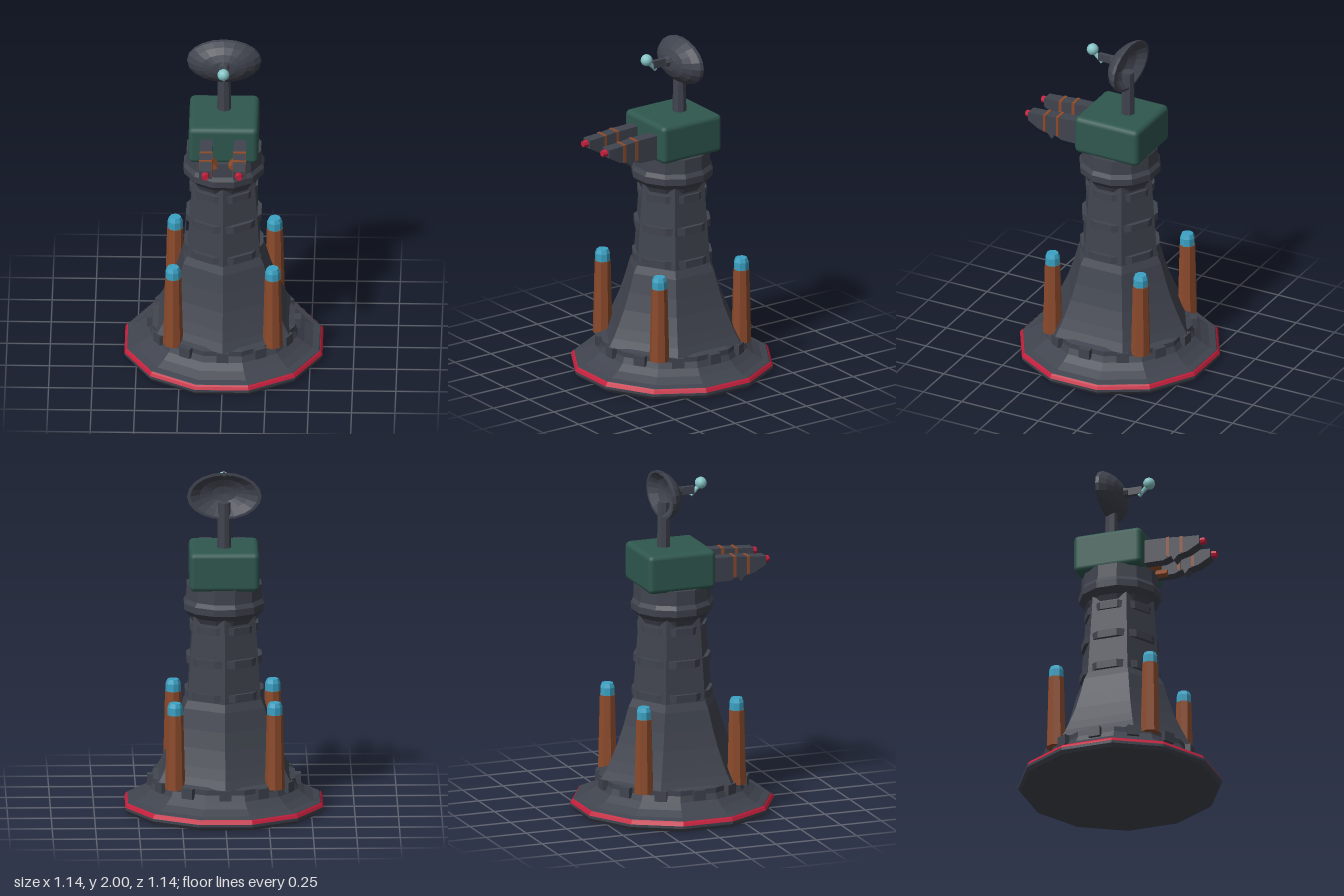
import * as THREE from 'three';
import { RoundedBoxGeometry } from 'three/addons/geometries/RoundedBoxGeometry.js';

const mat = (name, color) => {
  const m = new THREE.MeshStandardMaterial({ color });
  m.name = name;
  return m;
};

export function createModel() {
  const root = new THREE.Group();
  root.name = 'turretTower';
  const M = {
    dark: mat('dark slate', 0x40444e),
    green: mat('dark green', 0x2f584f),
    brown: mat('copper brown', 0x8c4b2c),
    cyan: mat('cyan', 0x3ba2c4),
    pale: mat('pale teal', 0x86c4c6),
    red: mat('red', 0xc41f3c),
  };

  // Faceted normals for the low-poly parts
  const facet = (g) => {
    const f = g.index ? g.toNonIndexed() : g;
    f.computeVertexNormals();
    return f;
  };
  const add = (name, geo, m, x = 0, y = 0, z = 0, parent = root) => {
    const mesh = new THREE.Mesh(geo, m);
    mesh.name = name;
    mesh.position.set(x, y, z);
    parent.add(mesh);
    return mesh;
  };
  // Faceted turned body from [radius, height] pairs, listed bottom to top
  const turned = (pts, sides, turn = 0) =>
    facet(new THREE.LatheGeometry(pts.map((p) => new THREE.Vector2(...p)), sides).rotateY(turn));
  const rod = (r0, r1, h, sides) => facet(new THREE.CylinderGeometry(r1, r0, h, sides));

  // Twelve-sided base with flats on the axes
  const half = Math.PI / 12;
  add('base', turned([[0, 0], [0.575, 0], [0.59, 0.02], [0.59, 0.035], [0.57, 0.06], [0.53, 0.07],
    [0.48, 0.1], [0.44, 0.135], [0.425, 0.17], [0.425, 0.2], [0.39, 0.21], [0, 0.21]], 12, half), M.dark);
  add('baseStripe', turned([[0.591, 0.036], [0.582, 0.052], [0.574, 0.06]], 12, half), M.red);
  for (let i = 0; i < 12; i++) {
    const a = (i * Math.PI) / 6;
    const lug = add('baseLug', new THREE.BoxGeometry(0.07, 0.06, 0.04), M.dark,
      Math.sin(a) * 0.423, 0.172, Math.cos(a) * 0.423);
    lug.rotation.y = a;
  }

  // Hexagonal tower: flared foot and slim shaft
  add('flaredFoot', turned([[0.44, 0.2], [0.41, 0.25], [0.38, 0.31], [0.335, 0.41], [0.3, 0.51],
    [0.268, 0.62], [0.245, 0.665], [0, 0.665]], 6), M.dark);
  add('shaft', turned([[0.245, 0.6], [0.24, 0.7], [0.205, 1.17]], 6), M.dark);
  for (const [y, r] of [[0.695, 0.235], [0.895, 0.225], [1.085, 0.204]]) {
    add('shaftBand', rod(r, r, 0.045, 12).rotateY(half), M.dark, 0, y);
  }
  add('collar', turned([[0.19, 1.12], [0.205, 1.15], [0.238, 1.185], [0.24, 1.225], [0.225, 1.25],
    [0.222, 1.335], [0, 1.335]], 12, half), M.dark);

  // Four energy posts around the tower
  for (const sx of [-1, 1]) for (const sz of [-1, 1]) {
    const post = new THREE.Group();
    post.name = 'energyPost';
    post.position.set(sx * 0.287, 0, sz * 0.287);
    root.add(post);
    add('postBody', rod(0.058, 0.047, 0.44, 8), M.brown, 0, 0.4, 0, post);
    add('postCap', turned([[0.044, 0.61], [0.044, 0.665], [0.034, 0.69], [0, 0.69]], 8), M.cyan, 0, 0, 0, post);
  }

  // Turret head
  add('turretHead', new RoundedBoxGeometry(0.4, 0.23, 0.415, 2, 0.03), M.green, 0, 1.44, -0.01);

  // Tapered barrel side profile in (z, y)
  const profile = [[0.18, 1.345], [0.31, 1.345], [0.36, 1.365], [0.375, 1.335], [0.4, 1.365],
    [0.46, 1.38], [0.53, 1.42], [0.53, 1.47], [0.44, 1.475], [0.34, 1.485], [0.18, 1.49]];
  const barrelShape = new THREE.Shape(profile.map(([z, y]) => new THREE.Vector2(-z, y)));
  for (const s of [-1, 1]) {
    const gun = new THREE.Group();
    gun.name = 'gun';
    gun.position.x = s * 0.097;
    root.add(gun);
    const barrel = new THREE.ExtrudeGeometry(barrelShape, { depth: 0.07, bevelEnabled: false });
    add('barrel', barrel.translate(0, 0, -0.035).rotateY(Math.PI / 2), M.dark, 0, 0, 0, gun);
    add('rearBand', new THREE.BoxGeometry(0.076, 0.122, 0.018), M.brown, 0, 1.427, 0.338, gun);
    add('frontBand', new THREE.BoxGeometry(0.076, 0.106, 0.018), M.brown, 0, 1.427, 0.422, gun);
    add('muzzle', rod(0.026, 0.019, 0.05, 8).rotateX(Math.PI / 2), M.red, 0, 1.445, 0.533, gun);
    const strut = add('gunStrut', new THREE.BoxGeometry(0.025, 0.08, 0.1), M.brown, -s * 0.03, 1.365, 0.22, gun);
    strut.rotation.z = -s * 0.7;
  }

  // Mast, dish and feed
  add('mast', rod(0.041, 0.036, 0.28, 8), M.dark, 0, 1.68, -0.052);
  const dish = new THREE.Group();
  dish.name = 'dish';
  dish.position.set(0, 1.862, -0.02);
  root.add(dish);
  const shell = turned([[0, 0.015], [0.07, 0.008], [0.14, -0.015], [0.195, -0.055], [0.215, -0.055],
    [0.212, -0.035], [0.18, 0], [0.13, 0.03], [0.07, 0.048], [0, 0.053]], 20);
  add('dishShell', shell.rotateX(Math.PI / 2).scale(1, 0.64, 1), M.dark, 0, 0, 0, dish);
  add('dishArm', new THREE.BoxGeometry(0.026, 0.045, 0.12), M.dark, 0, 0.012, 0.095, dish);
  add('dishSocket', rod(0.035, 0.025, 0.03, 8).rotateX(Math.PI / 2), M.dark, 0, 0.012, 0.06, dish);
  const stem = add('feedStem', rod(0.011, 0.015, 0.085, 8), M.pale, 0, 0.01, 0.165, dish);
  stem.rotation.x = 0.75;
  add('feedOrb', new THREE.SphereGeometry(0.035, 12, 8), M.pale, 0, 0.048, 0.198, dish);

  // Small peak on the top rim of the dish
  add('dishRimTip', new THREE.BoxGeometry(0.012, 0.02, 0.02), M.dark, 0, 0.128, -0.044, dish);
  return root;
}
